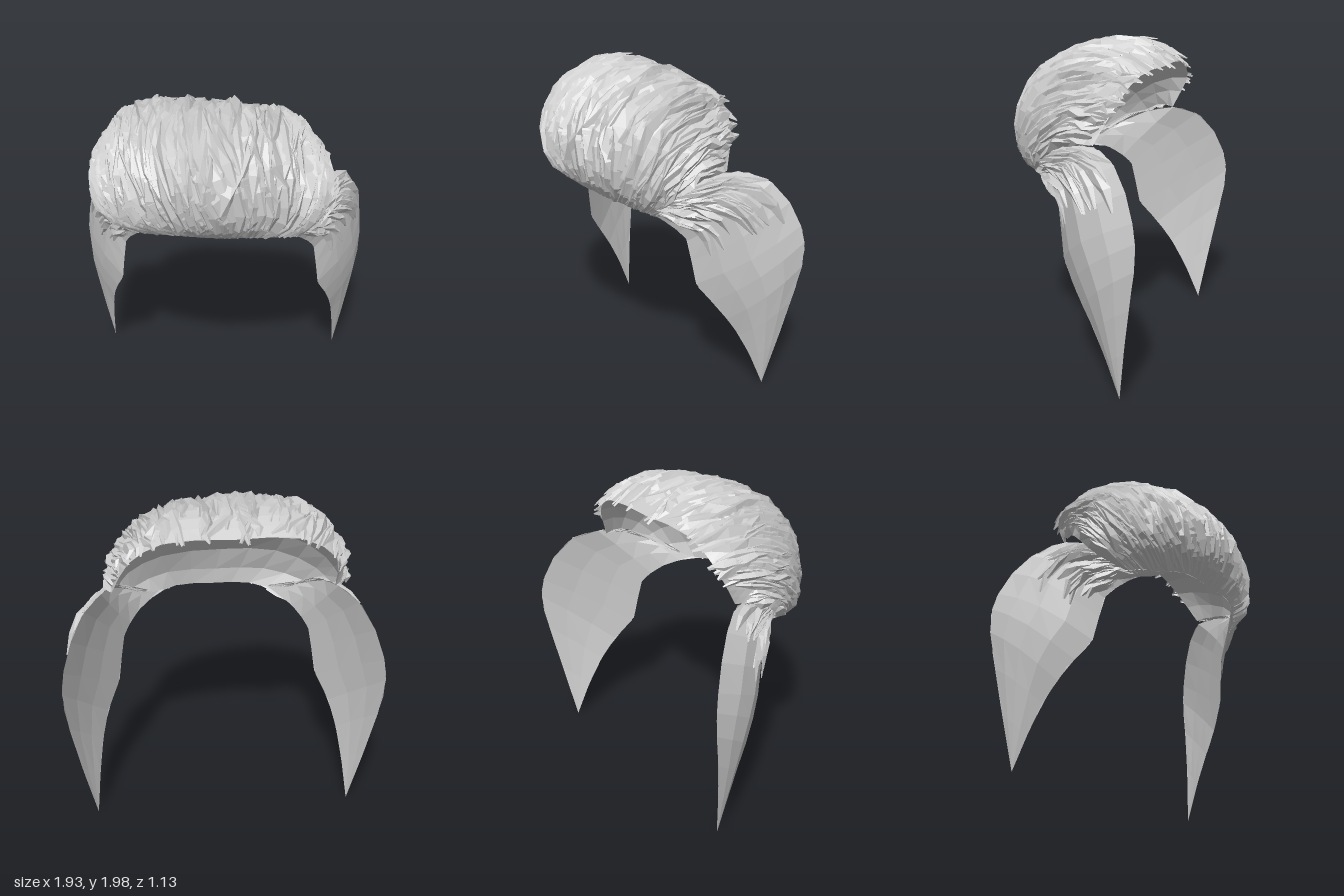
import * as THREE from 'three';
import { mergeGeometries } from 'three/addons/utils/BufferGeometryUtils.js';
import { ParametricGeometry } from 'three/addons/geometries/ParametricGeometry.js';

const material = new THREE.MeshStandardMaterial({ color: 0xcccccc, flatShading: true, side: THREE.DoubleSide });
const curve = (pts) => new THREE.CatmullRomCurve3(pts.map((p) => new THREE.Vector3(...p)));

// Small seeded generator
let seed = 7;
const rnd = (a = 0, b = 1) => {
  seed = (seed * 16807) % 2147483647;
  return a + (b - a) * (seed / 2147483647);
};

// Swept-back top: profiles from hairline to back edge, listed from -x to +x
const profiles = [
  [[-0.52, 1.19, 0.18], [-0.66, 1.27, 0.13], [-0.75, 1.35, 0.07], [-0.79, 1.42, -0.01], [-0.79, 1.46, -0.09], [-0.76, 1.47, -0.17], [-0.7, 1.46, -0.23]],
  [[-0.44, 1.22, 0.26], [-0.64, 1.32, 0.27], [-0.72, 1.45, 0.2], [-0.75, 1.58, 0.08], [-0.75, 1.66, -0.06], [-0.73, 1.69, -0.2], [-0.67, 1.68, -0.34]],
  [[-0.25, 1.26, 0.36], [-0.39, 1.38, 0.43], [-0.49, 1.58, 0.39], [-0.53, 1.77, 0.26], [-0.53, 1.88, 0.03], [-0.51, 1.89, -0.2], [-0.46, 1.81, -0.36]],
  [[0, 1.26, 0.38], [-0.03, 1.38, 0.49], [-0.09, 1.6, 0.51], [-0.12, 1.82, 0.35], [-0.12, 1.94, 0.08], [-0.1, 1.92, -0.2], [-0.06, 1.82, -0.37]],
  [[0.25, 1.26, 0.36], [0.34, 1.38, 0.41], [0.39, 1.56, 0.38], [0.4, 1.74, 0.27], [0.4, 1.85, 0.05], [0.38, 1.87, -0.18], [0.35, 1.8, -0.35]],
  [[0.43, 1.22, 0.26], [0.55, 1.32, 0.27], [0.6, 1.45, 0.23], [0.63, 1.57, 0.12], [0.63, 1.65, -0.03], [0.6, 1.68, -0.17], [0.55, 1.67, -0.3]],
  [[0.5, 1.19, 0.19], [0.58, 1.27, 0.15], [0.64, 1.35, 0.09], [0.67, 1.42, 0.01], [0.68, 1.45, -0.07], [0.67, 1.46, -0.14], [0.66, 1.45, -0.2]],
].map(curve);

const clamp = (x) => Math.min(1, Math.max(0, x));
// Past the back edge (v > 1) the surface carries on straight back and down
const topSurface = (u, v) =>
  new THREE.CatmullRomCurve3(profiles.map((c) => c.getPoint(clamp(v)))).getPoint(clamp(u))
    .addScaledVector(new THREE.Vector3(0, -0.4, -0.8), Math.max(0, v - 1));

// Inner scalp shares the hairline, back edge and sides, but is flatter
const scalpSurface = (u, v) => {
  const chord = topSurface(u, 0).lerp(topSurface(u, 1), v);
  return chord.lerp(topSurface(u, v), 0.5 + 0.5 * (2 * u - 1) ** 2);
};

// Side panel: its upper edge meets the side of the top, its tip hangs low
const frontEdge = curve([[0.32, 1.25, 0.33], [0.47, 1.2, 0.2], [0.56, 1.12, 0.1], [0.615, 1.03, 0.03], [0.645, 0.78, 0], [0.74, 0.57, -0.14], [0.785, 0.35, -0.28], [0.82, 0.01, -0.43]]);
const backEdge = curve([[0.45, 1.25, 0.26], [0.64, 1.39, 0.04], [0.71, 1.46, -0.21], [0.84, 1.38, -0.41], [0.94, 1.14, -0.54], [0.965, 0.95, -0.57], [0.92, 0.55, -0.51], [0.82, 0.01, -0.43]]);
const panelSurface = (side, thickness) => (s, t) => {
  s = clamp(s);
  t = clamp(t);
  const p = frontEdge.getPoint(t).lerp(backEdge.getPoint(t), s);
  const bulge = thickness * Math.sin(Math.PI * s) * Math.sin(Math.PI * t ** 0.9);
  p.add(new THREE.Vector3(0.85, 0.15, 0.5).multiplyScalar(bulge));
  p.x *= side;
  return p;
};

const sheet = (surface, nu, nv) =>
  new ParametricGeometry((u, v, target) => target.copy(surface(u, v)), nu, nv);

// Tapered lock with a raised ridge, following a surface from a to b;
// tip raises its far end off the surface
function lock(surface, a, b, width, lift, center, steps, tip = 0) {
  const pos = [], index = [];
  const sway = rnd(-0.02, 0.02);
  const uv = (k) => [a[0] + (b[0] - a[0]) * k + sway * Math.sin(Math.PI * 2 * k), a[1] + (b[1] - a[1]) * k];
  const at = (k) => surface(...uv(k));
  for (let i = 0; i <= steps; i++) {
    const k = i / steps;
    const p = at(k);
    const along = at(Math.min(1, k + 0.06)).sub(at(Math.max(0, k - 0.06))).normalize();
    const [u, v] = uv(k);
    const du = surface(u + 0.02, v).sub(surface(u - 0.02, v));
    const dv = surface(u, v + 0.02).sub(surface(u, v - 0.02));
    const out = du.cross(dv).normalize();
    if (out.dot(p.clone().sub(center)) < 0) out.negate();
    const across = along.cross(out).normalize();
    const w = width * Math.sin(Math.PI * (0.08 + 0.9 * k)) ** 0.6;
    const h = lift * (0.3 + Math.sin(Math.PI * k));
    for (const [x, y] of [[-1, 0.1], [rnd(-0.5, 0.5), 1], [1, 0.1]]) {
      const q = p.clone().addScaledVector(across, x * w).addScaledVector(out, y * h + tip * k * k);
      pos.push(q.x, q.y, q.z);
    }
    if (i < steps) {
      for (const j of [i * 3, i * 3 + 1]) index.push(j, j + 1, j + 3, j + 1, j + 4, j + 3);
    }
  }
  const g = new THREE.BufferGeometry();
  g.setAttribute('position', new THREE.Float32BufferAttribute(pos, 3));
  g.setIndex(index);
  g.computeVertexNormals();
  return g;
}

export function createModel() {
  seed = 7;
  const group = new THREE.Group();
  const add = (name, geometry) => {
    const mesh = new THREE.Mesh(geometry, material);
    mesh.name = name;
    group.add(mesh);
  };

  // Top volume and the scalp beneath it
  add('topVolume', sheet(topSurface, 30, 14));
  add('innerScalp', sheet(scalpSurface, 12, 6));

  // Long locks sweeping from the hairline over the top, then shorter ones
  const topCenter = new THREE.Vector3(-0.06, 1.4, -0.1);
  const topLocks = [];
  for (let i = 0; i < 80; i++) {
    const u = (i + rnd()) / 80;
    const end = u + (0.4 - u) * 0.1 + rnd(-0.06, 0.06);
    topLocks.push(lock(topSurface, [u, rnd(0, 0.05)], [end, rnd(0.7, 1.06)], rnd(0.03, 0.055), rnd(0.015, 0.035), topCenter, 8));
  }
  for (let i = 0; i < 90; i++) {
    const u = rnd(0.01, 0.99), v = rnd(0.05, 0.6);
    topLocks.push(lock(topSurface, [u, v], [u + rnd(-0.05, 0.05), v + rnd(0.36, 0.46)], rnd(0.025, 0.05), rnd(0.02, 0.04), topCenter, 5));
  }
  add('topLocks', mergeGeometries(topLocks));

  // Loose locks standing off the crown and the back edge
  const looseLocks = [];
  for (let i = 0; i < 36; i++) {
    const crown = i < 14;
    const u = crown ? rnd(0.28, 0.48) : rnd(0.08, 0.92);
    const v = crown ? rnd(0.45, 0.65) : rnd(0.72, 0.8);
    looseLocks.push(lock(topSurface, [u, v], [u + rnd(-0.06, 0.06), v + 0.26], 0.035, 0.02, topCenter, 4, rnd(0.01, 0.04)));
  }
  add('looseLocks', mergeGeometries(looseLocks));

  // Mirrored side panels with locks combed back over their upper half
  for (const side of [1, -1]) {
    const label = side > 0 ? 'left' : 'right';
    const outer = panelSurface(side, 0.11);
    add(label + 'SidePanel', sheet(outer, 4, 12));
    add(label + 'SidePanelInside', sheet(panelSurface(side, 0.02), 3, 10));
    const center = new THREE.Vector3(0, 1, -0.4);
    const locks = [];
    for (let i = 0; i < 60; i++) {
      const s = rnd(0.03, 0.85), t = rnd(0, 0.3);
      locks.push(lock(outer, [s, t], [clamp(s + rnd(0, 0.2)), t + rnd(0.16, 0.27)], rnd(0.022, 0.042), rnd(0.012, 0.03), center, 4, rnd(0, 0.01)));
    }
    add(label + 'SideLocks', mergeGeometries(locks));
  }
  return group;
}
